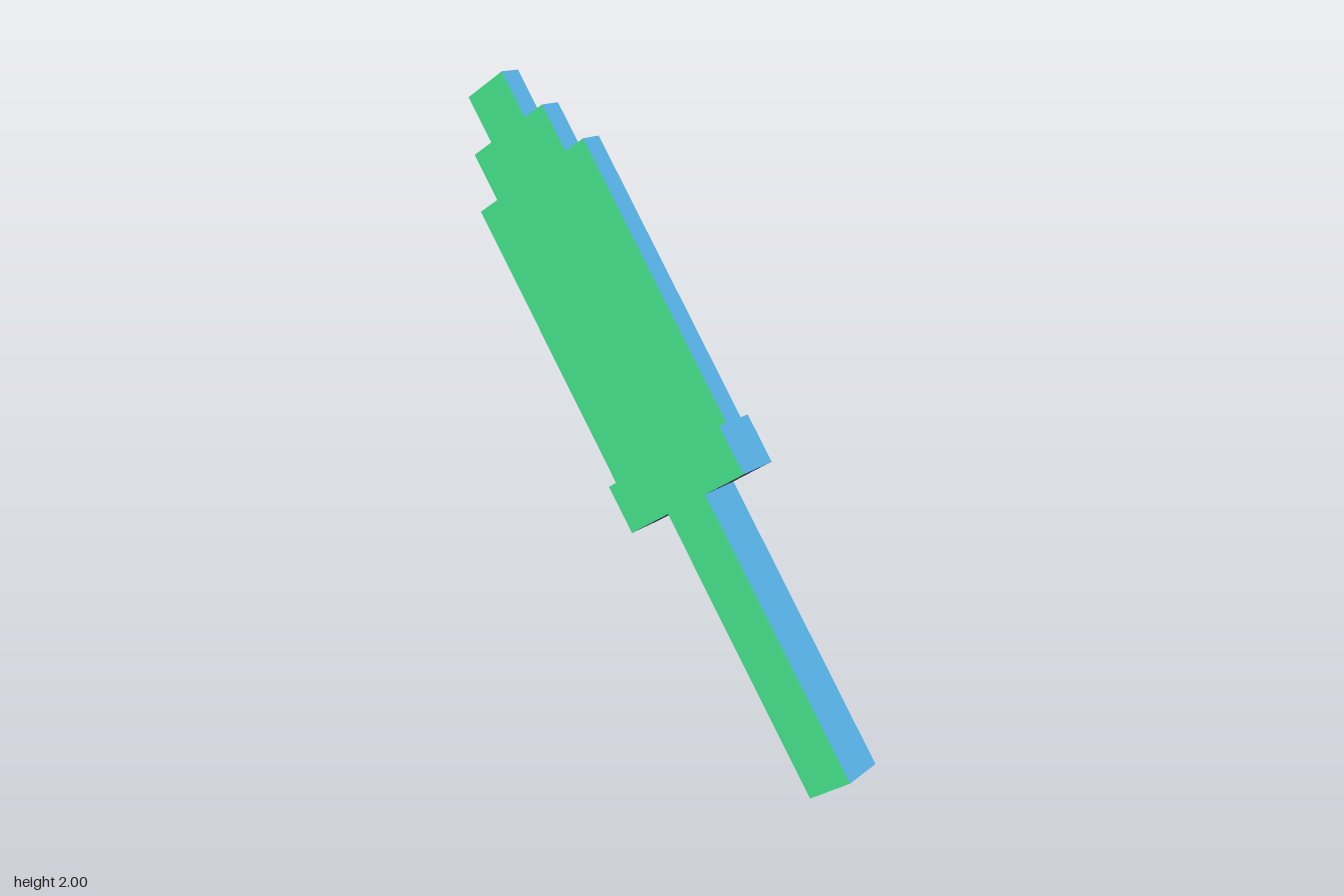
import * as THREE from 'three';

const paint = (name, color) => {
  const material = new THREE.MeshStandardMaterial({ color });
  material.name = name;
  return material;
};

export function createModel() {
  // One colour per direction: +x, -x, +y, -y, +z, -z
  const sides = [
    paint('salmon', 0xf08686),
    paint('green', 0x45e48c),
    paint('pale blue', 0xb6d5e1),
    paint('slate', 0x536174),
    paint('sky blue', 0x59b6ec),
    paint('yellow', 0xf4da70),
  ];
  const unit = 0.1518;

  // Parts stacked from the pommel end: name, thickness, length, width (in units)
  const parts = [
    ['handle', 1, 6, 1],
    ['guard', 1, 1, 3],
    ['blade', 0.5, 6, 3],
    ['bladeStep', 0.5, 1, 2],
    ['bladeTip', 0.5, 1, 1],
  ];

  const sword = new THREE.Group();
  sword.name = 'sword';
  let base = 0;
  for (const [name, thickness, length, width] of parts) {
    const geometry = new THREE.BoxGeometry(thickness * unit, length * unit, width * unit);
    const mesh = new THREE.Mesh(geometry, sides);
    mesh.name = name;
    mesh.position.y = (base + length / 2) * unit;
    sword.add(mesh);
    base += length;
  }

  // Lean the sword back and turn it slightly
  sword.rotation.set(
    THREE.MathUtils.degToRad(-32.6),
    THREE.MathUtils.degToRad(12.1),
    0,
    'YXZ'
  );

  // Centre it and stand it on the ground
  const box = new THREE.Box3().setFromObject(sword, true);
  const center = box.getCenter(new THREE.Vector3());
  sword.position.set(-center.x, -box.min.y, -center.z);

  const model = new THREE.Group();
  model.name = 'model';
  model.add(sword);
  return model;
}
